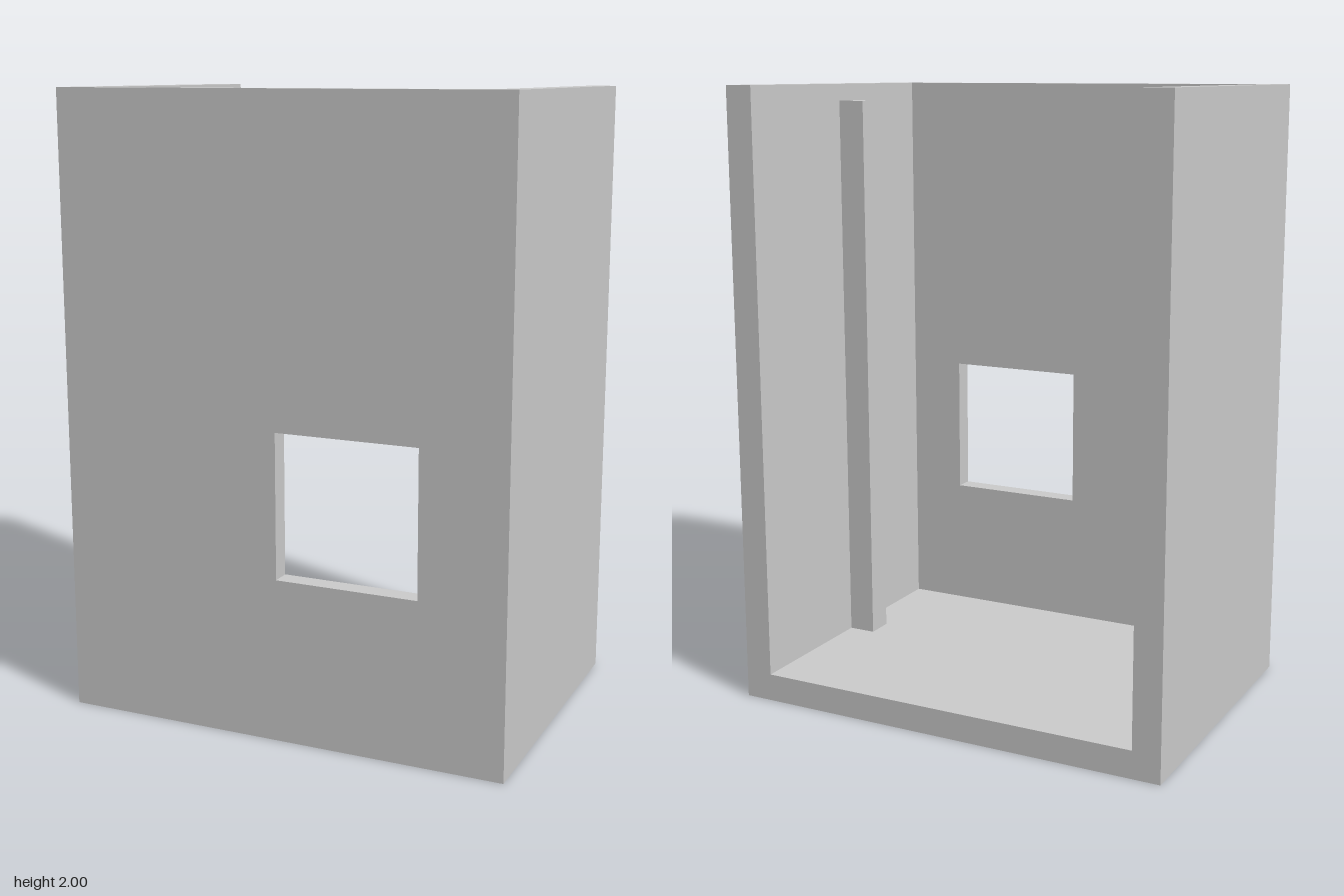
import * as THREE from 'three';

const W = 0.737, D = 0.515, H = 2;            // half width, half depth, height
const IN_X = 0.645, IN_Z = 0.452, FLOOR = 0.09; // inner faces of side walls, front wall, floor

export function createModel() {
  const model = new THREE.Group();
  const material = new THREE.MeshStandardMaterial({ color: 0xcccccc, flatShading: true });

  const add = (name, geometry) => {
    const mesh = new THREE.Mesh(geometry, material);
    mesh.name = name;
    model.add(mesh);
  };
  // Box given by its minimum and maximum corners
  const block = (name, [x0, y0, z0], [x1, y1, z1]) => add(name,
    new THREE.BoxGeometry(x1 - x0, y1 - y0, z1 - z0)
      .translate((x0 + x1) / 2, (y0 + y1) / 2, (z0 + z1) / 2));
  const rect = (path, x0, y0, x1, y1) =>
    path.moveTo(x0, y0).lineTo(x1, y0).lineTo(x1, y1).lineTo(x0, y1).closePath();

  // Front wall with a square window, set between the side walls
  const wall = rect(new THREE.Shape(), -IN_X, 0, IN_X, H);
  wall.holes.push(rect(new THREE.Path(), -0.003, 0.525, 0.46, 0.988));
  add('frontWall', new THREE.ExtrudeGeometry(wall, { depth: D - IN_Z, bevelEnabled: false })
    .translate(0, 0, IN_Z));

  // Floor slab, open at the back
  block('floor', [-IN_X, 0, -D], [IN_X, FLOOR, IN_Z]);

  // Side walls and the square posts standing against them
  for (const [side, s] of [['left', 1], ['right', -1]]) {
    const span = (a, b) => [Math.min(s * a, s * b), Math.max(s * a, s * b)];
    const [w0, w1] = span(IN_X, W);
    block(side + 'Wall', [w0, 0, -D], [w1, H, D]);
    const [p0, p1] = span(0.554, IN_X);
    block(side + 'Post', [p0, FLOOR, -0.024], [p1, 1.945, 0.066]);
  }
  return model;
}
